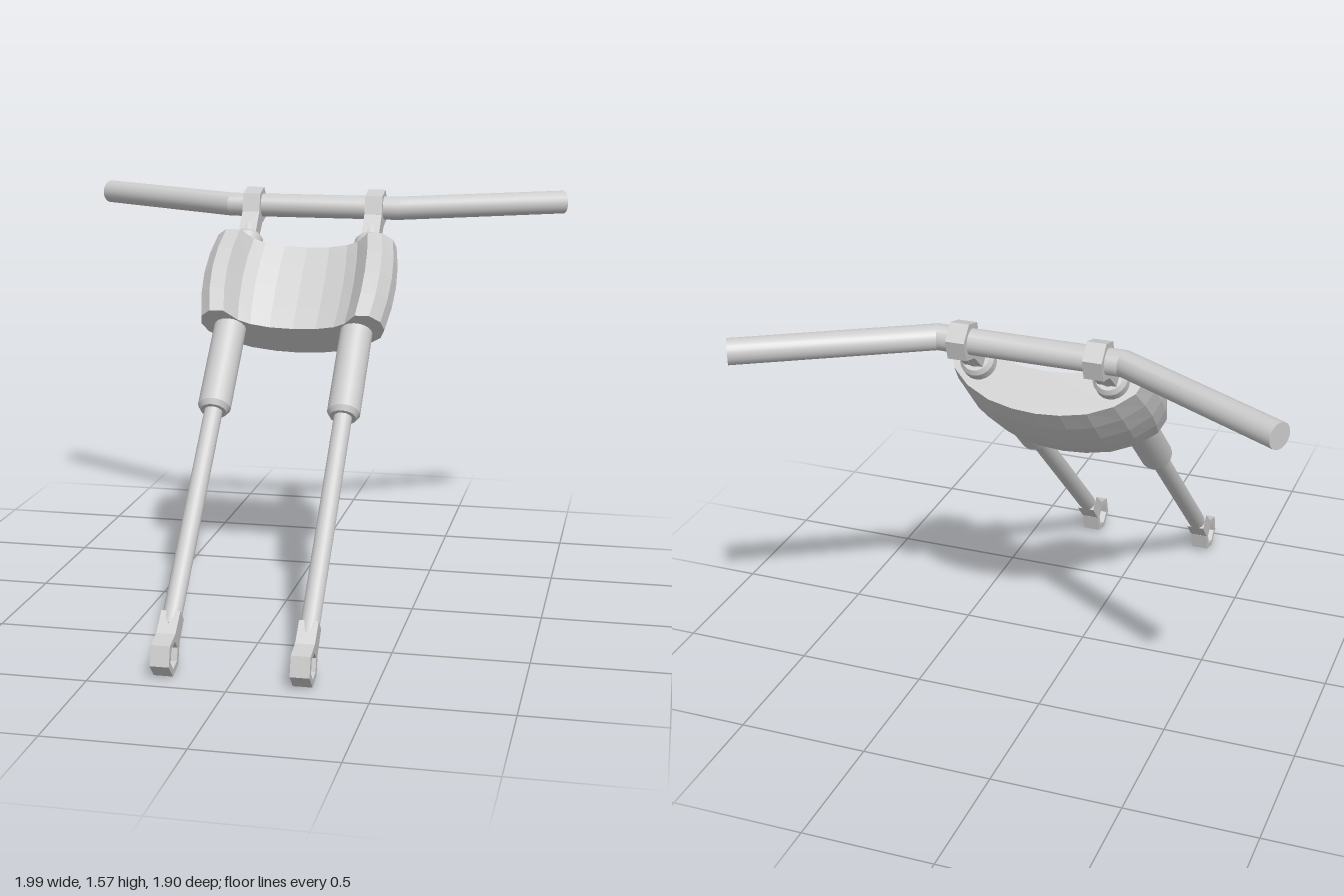
import * as THREE from 'three';
import { toCreasedNormals } from 'three/addons/utils/BufferGeometryUtils.js';

const smooth = new THREE.MeshStandardMaterial({ color: 0xcccccc });
const faceted = new THREE.MeshStandardMaterial({ color: 0xcccccc, flatShading: true });

function add(parent, name, geometry, material = smooth) {
  const mesh = new THREE.Mesh(geometry, material);
  mesh.name = name;
  parent.add(mesh);
  return mesh;
}

// Move every vertex of a geometry by a rule
function reshape(geometry, rule) {
  const p = geometry.attributes.position;
  const v = new THREE.Vector3();
  for (let i = 0; i < p.count; i++) {
    rule(v.fromBufferAttribute(p, i));
    p.setXYZ(i, v.x, v.y, v.z);
  }
  geometry.computeVertexNormals();
  return geometry;
}

const hexagon = r => Array.from({ length: 6 }, (_, k) =>
  new THREE.Vector2(r * Math.cos(k * Math.PI / 3), r * Math.sin(k * Math.PI / 3)));

// Hexagonal ring with its hole running along x
function hexEye() {
  const shape = new THREE.Shape(hexagon(0.074));
  shape.holes.push(new THREE.Path(hexagon(0.048)));
  const g = new THREE.ExtrudeGeometry(shape, { depth: 0.07, bevelEnabled: false });
  return g.translate(0, 0, -0.035).rotateY(Math.PI / 2);
}

// Square neck between an eye and the round rod; dir is +1 above the eye, -1 below
function neck(dir) {
  return reshape(new THREE.BoxGeometry(0.07, 0.1, 0.074), v => {
    if (v.y * dir > 0) v.z *= 0.84;
  });
}

function lathe(points, sides) {
  const g = new THREE.LatheGeometry(points.map(([r, y]) => new THREE.Vector2(r, y)), sides);
  return toCreasedNormals(g, 0.5);
}

// Curved brace: arched section extruded along the legs, swelling at mid length
function brace() {
  const half = [[0, 0.007], [0.09, 0.012], [0.165, 0.03], [0.21, 0.055], [0.257, 0.113],
    [0.313, 0.113], [0.352, 0.075], [0.362, 0.025], [0.342, -0.03], [0.275, -0.088],
    [0.185, -0.13], [0.09, -0.15], [0, -0.156]];
  const mirrored = half.slice(1, -1).reverse().map(([x, n]) => [-x, n]);
  const shape = new THREE.Shape([...half, ...mirrored].map(([x, n]) => new THREE.Vector2(x, -n)));
  const length = 0.396;
  const g = new THREE.ExtrudeGeometry(shape, { depth: length, steps: 4, bevelEnabled: false });
  reshape(g, v => {
    const u = 2 * v.z / length - 1;
    const swell = 1 - u * u;
    v.x *= 1 + 0.06 * swell;
    v.y *= 1 + 0.14 * swell;
  });
  return g.rotateX(-Math.PI / 2).translate(0, 1.402, 0);
}

// Handlebar: straight middle, mitred bends, swept-back ends
function handlebar() {
  const r = 0.047;
  const stations = [
    { x: -0.972, z: -0.905, hx: -0.496, hz: 0.868 },
    { x: -0.342, z: -0.545, hx: -0.268, hz: 1 },
    { x: 0.342, z: -0.545, hx: 0.268, hz: 1 },
    { x: 0.972, z: -0.905, hx: 0.496, hz: 0.868 },
  ];
  const g = reshape(new THREE.CylinderGeometry(r, r, 1, 24, 3), v => {
    const s = stations[Math.round((v.y + 0.5) * 3)];
    v.set(s.x + s.hx * v.z, 1.495 - v.x, s.z + s.hz * v.z);
  });
  // the rule keeps handedness: length -> x, width -> z, depth -> -y
  return toCreasedNormals(g, 0.4);
}

function leg(x, side) {
  const group = new THREE.Group();
  group.name = side + 'ForkLeg';
  group.position.x = x;
  add(group, 'axleEye', hexEye(), faceted);
  add(group, 'axleNeck', neck(1), faceted).position.y = 0.107;
  add(group, 'rod', lathe([[0, 0.11], [0.035, 0.11], [0.035, 1.9], [0, 1.9]], 16));
  add(group, 'sleeve', lathe([[0, 1.015], [0.05, 1.015], [0.063, 1.035],
    [0.063, 1.835], [0.05, 1.852], [0, 1.852]], 20));
  add(group, 'clampNeck', neck(-1), faceted).position.y = 1.9;
  add(group, 'barClamp', hexEye(), faceted).position.y = 2.012;
  return group;
}

export function createModel() {
  const model = new THREE.Group();
  model.name = 'forkAssembly';

  // Legs and brace share a frame that leans back 45 degrees from the axle
  const fork = new THREE.Group();
  fork.name = 'fork';
  fork.position.set(0, 0.072, 0.878);
  fork.rotation.x = -Math.PI / 4;
  fork.add(leg(0.25, 'left'), leg(-0.25, 'right'));
  add(fork, 'brace', brace(), faceted);
  model.add(fork);

  add(model, 'handlebar', handlebar());
  return model;
}
